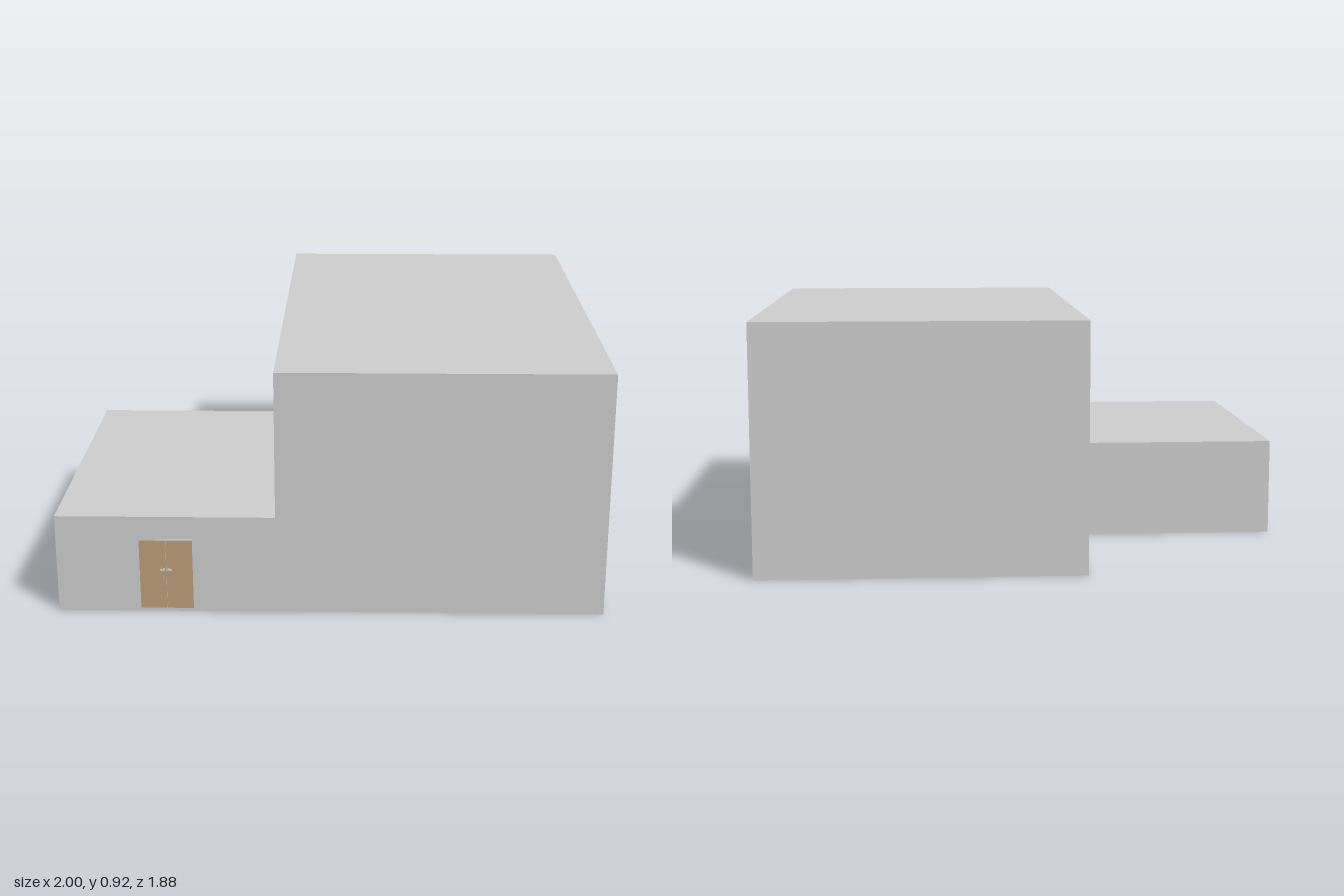
import * as THREE from 'three';

const FRONT = 0.93, BACK = -0.94;
const grey = new THREE.MeshStandardMaterial({ color: 0xcccccc });
const wood = new THREE.MeshStandardMaterial({ color: 0xba9c78 });

// Box given by its minimum and maximum on each axis
function box(name, [x0, x1], [y0, y1], [z0, z1], material = grey) {
  const mesh = new THREE.Mesh(new THREE.BoxGeometry(x1 - x0, y1 - y0, z1 - z0), material);
  mesh.position.set((x0 + x1) / 2, (y0 + y1) / 2, (z0 + z1) / 2);
  mesh.name = name;
  return mesh;
}

// Small lever handle: round stem with a bar pointing away from the door's middle
function handle(side) {
  const group = new THREE.Group();
  group.name = side < 0 ? 'rightHandle' : 'leftHandle';
  const stem = new THREE.Mesh(new THREE.CylinderGeometry(0.004, 0.004, 0.008, 12), grey);
  stem.name = 'handleStem';
  stem.rotation.x = Math.PI / 2;
  stem.position.z = 0.004;
  const lever = box('handleLever', [-0.003, 0.013], [-0.003, 0.003], [0.005, 0.009]);
  lever.position.x *= side;
  group.add(stem, lever);
  group.position.set(-0.6 + side * 0.008, 0.168, FRONT + 0.002);
  return group;
}

export function createModel() {
  const model = new THREE.Group();
  model.name = 'building';

  // Tall hall and low annex, with flush fronts
  model.add(box('mainHall', [-0.2, 1], [0, 0.92], [BACK, FRONT]));
  model.add(box('annex', [-1, -0.2], [0, 0.373], [-0.27, FRONT]));

  // Double door in a thin frame
  const door = new THREE.Group();
  door.name = 'doubleDoor';
  const frameZ = [FRONT - 0.01, FRONT + 0.003];
  door.add(box('frameTop', [-0.7, -0.5], [0.281, 0.285], frameZ));
  for (const side of [-1, 1]) {
    const inner = -0.6 + side * 0.0006, edge = -0.6 + side * 0.097, outer = -0.6 + side * 0.1;
    const span = (a, b) => [Math.min(a, b), Math.max(a, b)];
    door.add(box('doorLeaf', span(inner, edge), [0.013, 0.281], [FRONT - 0.01, FRONT + 0.002], wood));
    door.add(box('frameSide', span(edge, outer), [0, 0.281], frameZ));
    door.add(handle(side));
  }
  model.add(door);
  return model;
}
